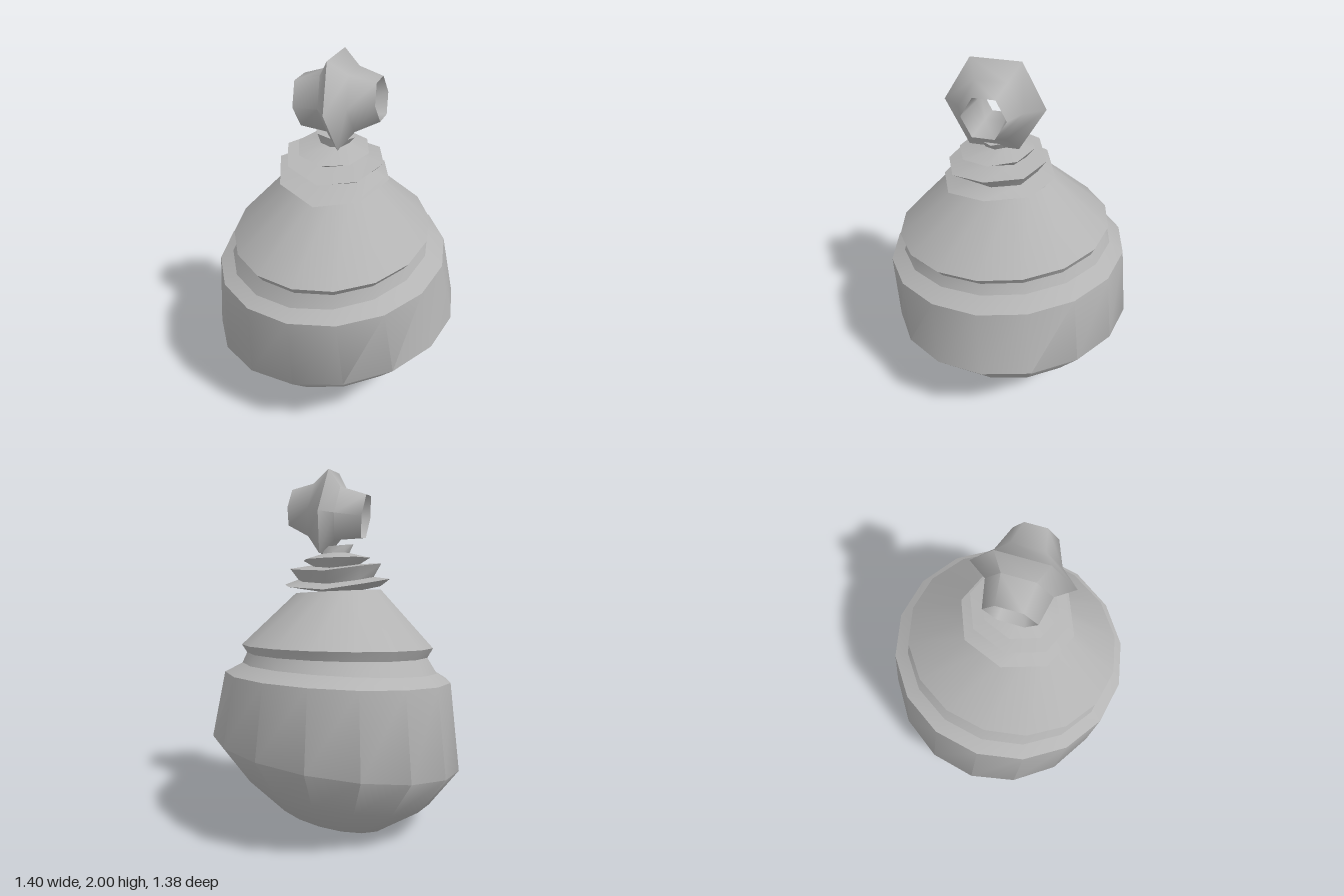
import * as THREE from 'three';
import { toCreasedNormals } from 'three/addons/utils/BufferGeometryUtils.js';

const clay = new THREE.MeshStandardMaterial({ color: 0xb4b4b4, side: THREE.DoubleSide });
clay.name = 'plain grey';

// Skin over tilted elliptical rings, listed from bottom to top.
// Ring: [cx, cy, cz, rx, rz, slope along x, slope along z, saddle height]
function loft(rings, sides, crease) {
  const pos = [], index = [];
  for (const [cx, cy, cz, rx, rz, sx = 0, sz = 0, saddle = 0] of rings) {
    for (let j = 0; j < sides; j++) {
      const t = (j / sides) * Math.PI * 2;
      const x = rx * Math.sin(t), z = rz * Math.cos(t);
      pos.push(cx + x, cy + sx * x + sz * z - saddle * Math.cos(2 * t), cz + z);
    }
  }
  for (let i = 0; i < rings.length - 1; i++) {
    for (let j = 0; j < sides; j++) {
      const k = (j + 1) % sides;
      const a = i * sides + j, b = i * sides + k, c = b + sides, d = a + sides;
      if (rings[i][3] > 0) index.push(a, b, c);
      if (rings[i + 1][3] > 0) index.push(a, c, d);
      else index.push(a, b, d);
    }
  }
  // drop triangles doubled at a closing point
  const g = new THREE.BufferGeometry();
  g.setAttribute('position', new THREE.Float32BufferAttribute(pos, 3));
  g.setIndex(index);
  return toCreasedNormals(g, crease);
}

function addPart(group, name, geometry) {
  const mesh = new THREE.Mesh(geometry, clay);
  mesh.name = name;
  group.add(mesh);
  return mesh;
}

export function createModel() {
  const group = new THREE.Group();
  group.name = 'lopsidedJar';

  // Rounded bowl and its leaning wall
  addPart(group, 'bowl', loft([
    [0.03, 0.005, -0.05, 0, 0],
    [0.02, 0.065, -0.05, 0.31, 0.28, 0.2, -0.09],
    [0.005, 0.24, -0.025, 0.545, 0.505, 0.165, -0.08],
    [0, 0.44, -0.012, 0.7, 0.675, 0.121, -0.089],
    [-0.005, 0.862, 0.025, 0.635, 0.665, 0.03, -0.086],
    [-0.015, 0.91, 0.03, 0.548, 0.59, 0.035, -0.1],
  ], 16, 0.8));

  // Collar below the lid, then the conical lid with its undercut rim
  addPart(group, 'collarAndLid', loft([
    [-0.015, 0.91, 0.03, 0.548, 0.59, 0.035, -0.1],
    [0, 0.982, 0.035, 0.508, 0.56, 0.01, -0.09],
    [0, 1.03, 0.042, 0.538, 0.588, 0, -0.09],
    [0, 1.335, 0.055, 0.24, 0.28, -0.06, -0.07],
    [0, 1.335, 0.055, 0, 0],
  ], 16, 0.6));

  // Stack of flared eight-sided skirts
  addPart(group, 'neckSkirts', loft([
    [0.015, 1.32, 0.057, 0, 0],
    [0.015, 1.362, 0.06, 0.305, 0.307, -0.065, -0.098, 0.027],
    [0.017, 1.395, 0.045, 0.218, 0.195, -0.045, -0.05, 0.015],
    [0.025, 1.457, 0.068, 0.265, 0.265, -0.065, -0.095, 0.02],
    [0.02, 1.475, 0.06, 0.14, 0.15, -0.035, -0.05, 0.01],
    [0.018, 1.512, 0.07, 0.193, 0.203, -0.05, -0.1, 0.003],
    [0.02, 1.546, 0.058, 0.08, 0.078, -0.06, -0.09],
    [0.027, 1.59, 0.07, 0.107, 0.08, -0.09, 0],
    [0.027, 1.59, 0.07, 0, 0],
  ], 8, 0.9));

  // Hollow six-sided finial, lying on its side and slightly tipped
  const profile = [
    [0.1, 0], [0.135, -0.21], [0.165, -0.065], [0.26, 0],
    [0.165, 0.085], [0.113, 0.212], [0.1, 0],
  ].map(([r, h]) => new THREE.Vector2(r, h));
  const finial = new THREE.LatheGeometry(profile, 6);
  finial.rotateZ(-Math.PI / 2);
  const knob = addPart(group, 'finial', toCreasedNormals(finial, 1.1));
  knob.position.set(0.057, 1.775, 0.066);
  knob.rotation.z = 0.12;

  return group;
}
